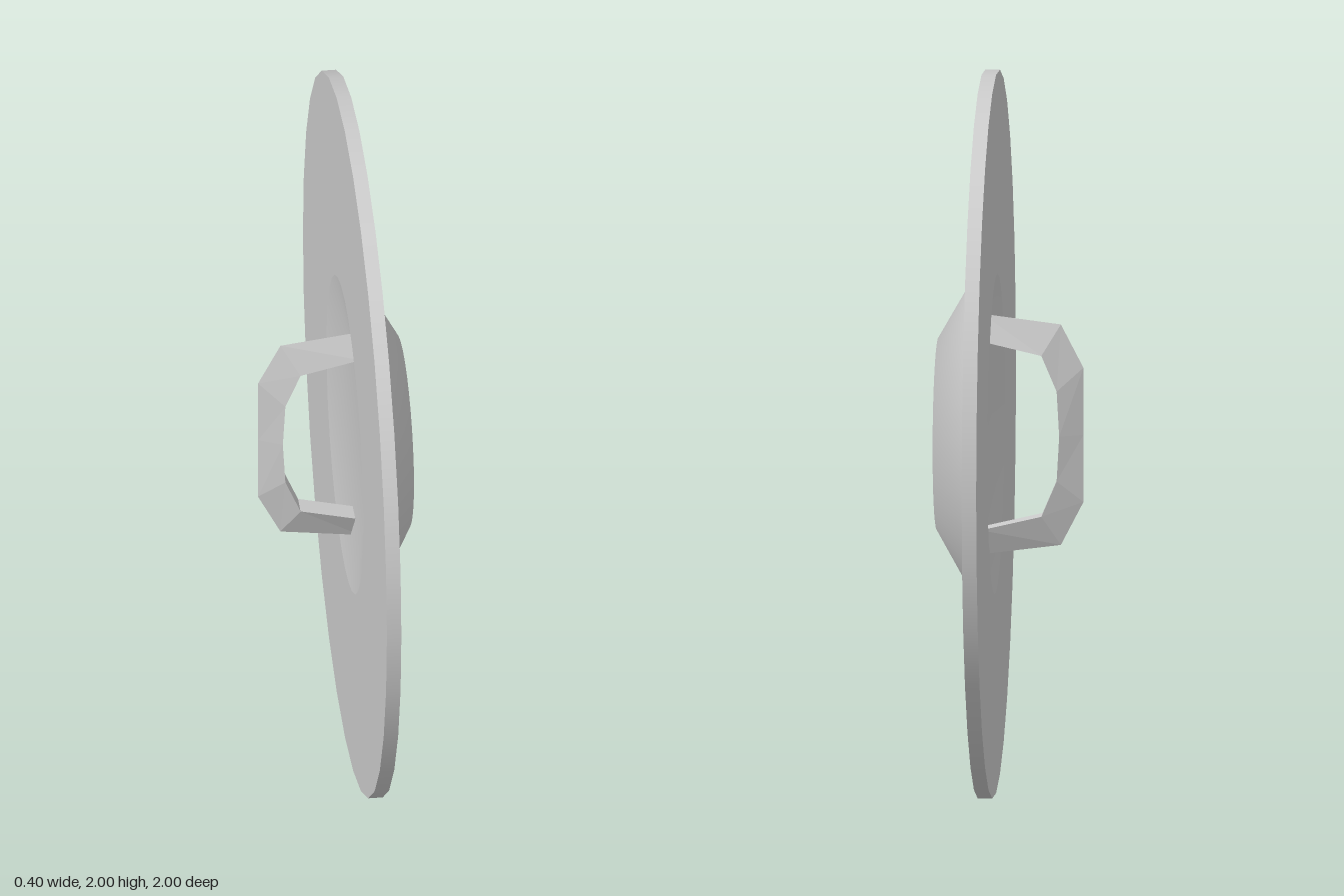
import * as THREE from 'three';

const SIDES = 32;
const material = new THREE.MeshStandardMaterial({ color: 0xcccccc, side: THREE.DoubleSide });
const flatMaterial = new THREE.MeshStandardMaterial({ color: 0xcccccc, side: THREE.DoubleSide, flatShading: true });

// Ring turned about the x axis from [radius, x] points; smooth within one band
function band(name, profile) {
  const points = profile.map(([r, x]) => new THREE.Vector2(r, x));
  const geometry = new THREE.LatheGeometry(points, SIDES);
  geometry.rotateZ(-Math.PI / 2);
  geometry.translate(0, 1, 0);
  const mesh = new THREE.Mesh(geometry, material);
  mesh.name = name;
  return mesh;
}

// Triangular bar: a ridge on the outside, a flat grip on the inside
function handleGeometry() {
  const half = [
    // outer x, outer y, inner x, inner y (measured from the disc centre)
    [0.08, 0.335, 0.08, 0.263],
    [-0.138, 0.307, -0.086, 0.224],
    [-0.2, 0.187, -0.128, 0.125],
  ];
  const mirrored = half.map(([a, b, c, d]) => [a, -b, c, -d]).reverse();
  const path = [...half, [-0.2, 0, -0.135, 0], ...mirrored];
  const w = 0.031;
  const sections = path.map(([ox, oy, ix, iy]) => [
    [ox, oy + 1, 0],
    [ix, iy + 1, -w],
    [ix, iy + 1, w],
  ]);
  const positions = [];
  for (let i = 0; i < sections.length - 1; i++) {
    for (let j = 0; j < 3; j++) {
      const k = (j + 1) % 3;
      const [a, b, c, d] = [sections[i][j], sections[i][k], sections[i + 1][k], sections[i + 1][j]];
      positions.push(...a, ...b, ...c, ...a, ...c, ...d);
    }
  }
  const geometry = new THREE.BufferGeometry();
  geometry.setAttribute('position', new THREE.Float32BufferAttribute(positions, 3));
  geometry.computeVertexNormals();
  return geometry;
}

export function createModel() {
  const group = new THREE.Group();
  group.name = 'roundShield';

  // Disc, from the back centre around the rim to the front centre
  group.add(
    band('backDish', [[0, 0.065], [0.27, 0.065], [0.44, 0.04]]),
    band('backPanel', [[0.44, 0.04], [1, 0.04]]),
    band('rimEdge', [[1, 0.04], [1, 0.08]]),
    band('rimFace', [[1, 0.08], [0.95, 0.08]]),
    band('rimInnerSlope', [[0.95, 0.08], [0.9, 0.046]]),
    band('frontPanel', [[0.9, 0.046], [0.44, 0.1]]),
    band('boss', [[0.44, 0.1], [0.265, 0.2], [0, 0.2]]),
  );

  // Grip behind the disc
  const handle = new THREE.Mesh(handleGeometry(), flatMaterial);
  handle.name = 'handle';
  group.add(handle);
  return group;
}
